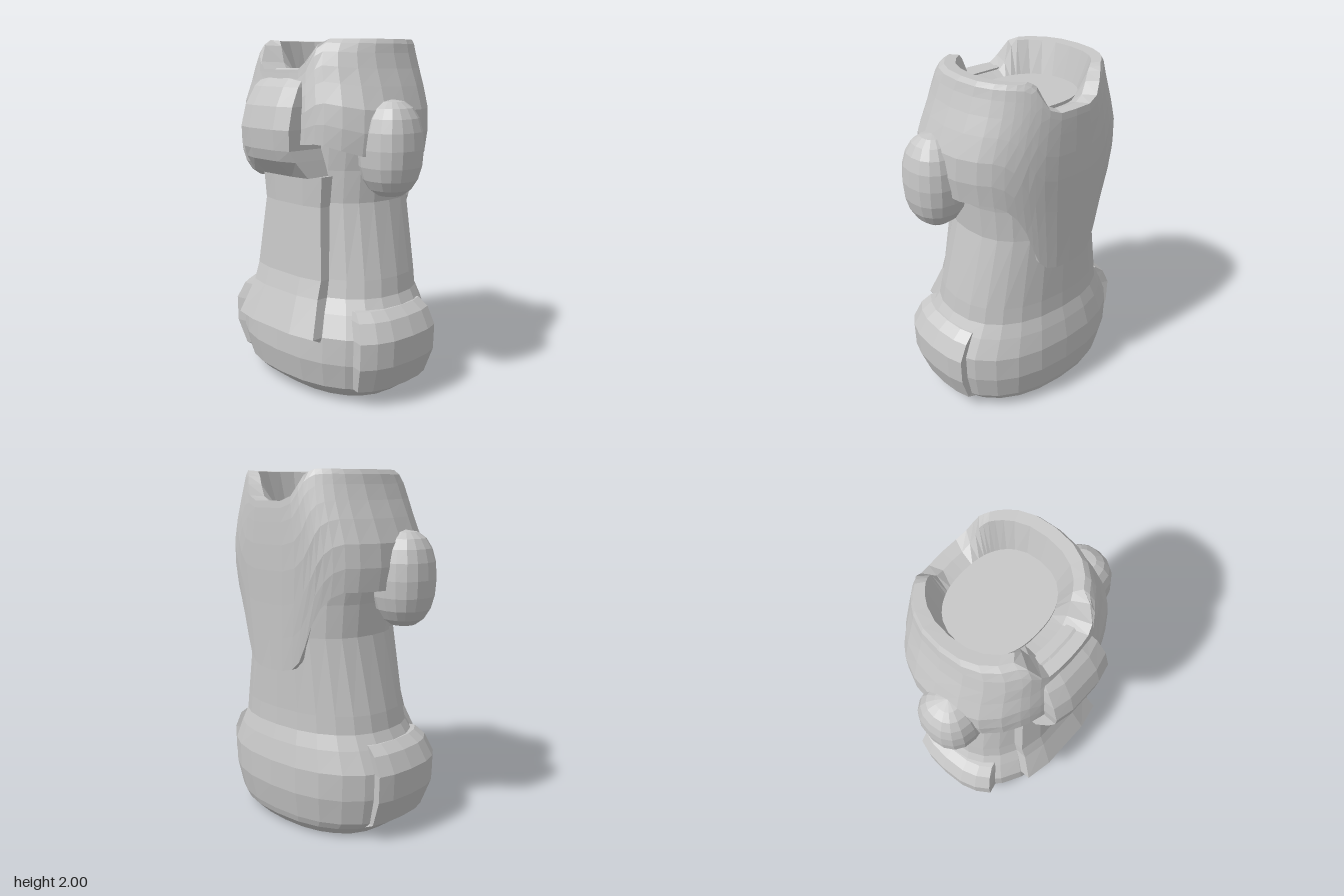
import * as THREE from 'three';

const rad = THREE.MathUtils.degToRad;
const pw = (v, p) => Math.sign(v) * Math.abs(v) ** p;

// Linear interpolation through [key, value...] rows
function sample(table, k) {
  if (k <= table[0][0]) return table[0].slice(1);
  for (let i = 1; i < table.length; i++) {
    const a = table[i - 1], b = table[i];
    if (k <= b[0]) {
      const t = (k - a[0]) / (b[0] - a[0]);
      return a.slice(1).map((v, n) => v + (b[n + 1] - v) * t);
    }
  }
  return table[table.length - 1].slice(1);
}

// Point on a squarish oval; angle 0 faces front, 90 faces the left side
function oval(y, rx, zf, zb, deg, p = 0.86) {
  const a = rad(deg), mid = (zf + zb) / 2;
  return [rx * pw(Math.sin(a), p), y, mid + ((zf - zb) / 2) * pw(Math.cos(a), p)];
}

// Faceted skin through rows of points, bottom to top
function skin(rows, closed = true) {
  const n = rows[0].length, index = [];
  for (let i = 0; i < rows.length - 1; i++) {
    for (let j = 0; j < (closed ? n : n - 1); j++) {
      const k = (j + 1) % n, a = i * n + j, b = i * n + k, c = b + n, d = a + n;
      index.push(a, b, c, a, c, d);
    }
  }
  const g = new THREE.BufferGeometry();
  g.setAttribute('position', new THREE.Float32BufferAttribute(rows.flat(2), 3));
  g.setIndex(index);
  const flat = g.toNonIndexed();
  flat.computeVertexNormals();
  return flat;
}

// Collapse a row to its centre, used as an end cap
function cap(row) {
  const c = [0, 1, 2].map((k) => row.reduce((s, p) => s + p[k], 0) / row.length);
  return row.map(() => c);
}
const capped = (rows) => [cap(rows[0]), ...rows, cap(rows[rows.length - 1])];

// Curved front plate from rows [y, halfWidth, zFront, edgeDrop, zBack]
function plate(rows) {
  return skin(capped(rows.map(([y, w, zf, drop, zb]) => [
    [-w, y, zf - drop], [-w * 0.5, y, zf - drop * 0.2], [w * 0.5, y, zf - drop * 0.2],
    [w, y, zf - drop], [w, y, zb], [-w, y, zb],
  ])));
}

export function createModel() {
  const group = new THREE.Group();
  const grey = new THREE.MeshStandardMaterial({ color: 0xc6c6c6 });
  grey.name = 'stone grey';
  const add = (name, geometry) => {
    const mesh = new THREE.Mesh(geometry, grey);
    mesh.name = name;
    group.add(mesh);
  };
  const around = (n) => Array.from({ length: n }, (_, i) => (i * 360) / n);

  // Robe body, rows are [y, half width, front z, back z]
  const body = [
    [0, 0.45, 0.26, -0.39], [0.06, 0.53, 0.34, -0.45], [0.1, 0.57, 0.38, -0.465],
    [0.25, 0.605, 0.415, -0.495], [0.4, 0.61, 0.41, -0.495], [0.52, 0.55, 0.36, -0.47],
    [0.6, 0.505, 0.32, -0.445], [0.7, 0.49, 0.3, -0.44], [1.12, 0.4, 0.26, -0.44],
    [1.3, 0.415, 0.26, -0.44], [1.5, 0.46, 0.27, -0.44],
  ];
  add('body', skin(capped(body.map((r) => around(24).map((a) => oval(...r, a))))));

  // Raised hem panels on both sides, blending into the foot chamfer
  const hem = [
    [0.06, 0.51, 0.32, -0.43], [0.1, 0.59, 0.395, -0.475], [0.25, 0.645, 0.44, -0.51],
    [0.4, 0.65, 0.44, -0.51], [0.5, 0.6, 0.4, -0.485], [0.545, 0.54, 0.36, -0.45],
    [0.55, 0.45, 0.3, -0.4],
  ];
  for (const [name, turn] of [['leftHemPanel', 1], ['rightHemPanel', -1]]) {
    const cols = [[51, 0.88], [54, 1], [66, 1], [78, 1], [90, 1], [101, 1], [112, 1], [113, 0.86]];
    const ordered = turn > 0 ? cols : [...cols].reverse();
    add(name, skin(hem.map(([y, rx, zf, zb]) => ordered.map(([a, s]) =>
      oval(y, rx * s, zf * s, zb * s, a * turn, 0.76))), false));
  }

  // Hanging front flap
  add('frontFlap', plate([
    [0.37, 0.32, 0.4, 0.035, 0.28], [0.4, 0.33, 0.465, 0.04, 0.28],
    [0.6, 0.28, 0.385, 0.04, 0.25], [0.7, 0.275, 0.355, 0.04, 0.22],
    [1.1, 0.235, 0.315, 0.035, 0.2], [1.27, 0.25, 0.32, 0.035, 0.2],
  ]));

  // Cowl: outer profile by height, with lower and upper edges by angle
  const cowl = [
    [0.93, 0.42, 0.34, -0.478], [1.27, 0.5, 0.37, -0.485], [1.4, 0.545, 0.41, -0.49],
    [1.52, 0.56, 0.41, -0.495], [1.65, 0.55, 0.4, -0.495], [1.8, 0.485, 0.37, -0.49],
    [1.9, 0.445, 0.36, -0.48], [1.97, 0.43, 0.32, -0.465], [2, 0.41, 0.27, -0.45],
  ];
  const lower = [[0, 1.44], [30, 1.46], [45, 1.43], [60, 1.4], [90, 1.38], [130, 1.38],
    [138, 1.35], [144, 1.29], [149, 1.2], [153, 1.08], [157, 0.99], [163, 0.945],
    [171, 0.93], [180, 0.925]];
  const upper = [[0, 1.84], [14, 1.84], [20, 1.88], [27, 1.97], [33, 2], [146, 2],
    [153, 1.97], [162, 1.87], [168, 1.84], [180, 1.84]];
  const half = [0, 7, 14, 20, 27, 33, 45, 60, 75, 90, 105, 120, 130, 138, 144, 149, 153, 157,
    163, 171, 180];
  const angles = [...half, ...half.slice(1, -1).reverse().map((a) => 360 - a)];
  const fold = (a) => (a > 180 ? 360 - a : a);
  const outer = angles.map((a) => [sample(lower, fold(a))[0], sample(upper, fold(a))[0], a]);
  const rows = [outer.map(([b, , a]) => oval(b, ...sample(body, b).map((v) => v * 0.97), a))];
  for (const t of [0, 0.2, 0.4, 0.6, 0.75, 0.88, 0.96, 1]) {
    rows.push(outer.map(([b, top, a]) => {
      const y = b + (top - b) * t;
      return oval(y, ...sample(cowl, y), a, 0.84);
    }));
  }
  // Rim and tapered inner wall
  rows.push(outer.map(([, top, a]) => oval(top - 0.005, 0.345, 0.235, -0.415, a)));
  rows.push(angles.map((a) => oval(1.8, 0.295, 0.155, -0.335, a)));
  add('cowl', skin(rows));

  // Flat neck disc closing the opening
  add('neckDisc', skin([
    angles.map((a) => oval(1.79, 0.3, 0.16, -0.34, a)),
    angles.map((a) => oval(1.82, 0.3, 0.16, -0.34, a)),
    angles.map(() => [0, 1.82, -0.09]),
  ]));

  // Bulging chest piece
  add('chestPiece', plate([
    [1.27, 0.23, 0.385, 0.02, 0.2], [1.36, 0.21, 0.475, 0.04, 0.2],
    [1.42, 0.195, 0.495, 0.03, 0.2], [1.53, 0.205, 0.505, 0.03, 0.2],
    [1.65, 0.2, 0.475, 0.03, 0.2], [1.75, 0.185, 0.42, 0.03, 0.2],
    [1.81, 0.165, 0.36, 0.03, 0.24], [1.845, 0.13, 0.29, 0.01, 0.24],
  ]));

  // Rounded arm stubs, reaching into the body
  for (const [name, s] of [['leftArm', 1], ['rightArm', -1]]) {
    const ring = (y, r) => around(16).map((a) => {
      const [x, , z] = oval(0, r, r, -r, a);
      return [s * 0.515 + x * 0.165, 1.43 + y * 0.26, 0.03 + z * 0.17];
    });
    const stack = [];
    for (let i = 1; i < 10; i++) {
      const t = rad(-90 + i * 18);
      stack.push(ring(pw(Math.sin(t), 0.88), Math.cos(t) ** 0.8));
    }
    add(name, skin([ring(-1, 0.001), ...stack, ring(1, 0.001)]));
  }
  return group;
}
